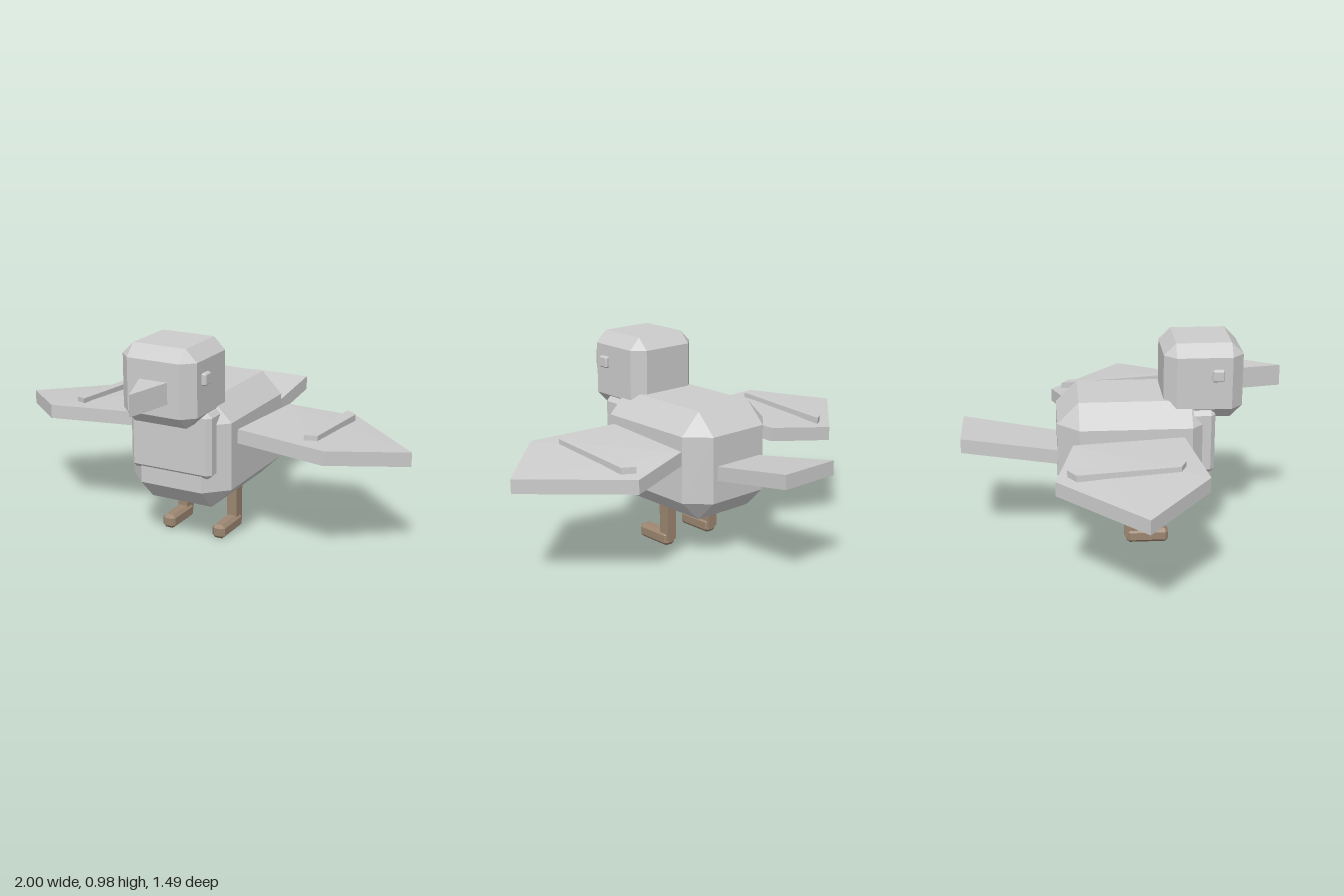
import * as THREE from 'three';
import { ConvexGeometry } from 'three/addons/geometries/ConvexGeometry.js';

export function createModel() {
  const bird = new THREE.Group();
  bird.name = 'bird';

  const plumage = new THREE.MeshStandardMaterial({ color: 0xcccccc });
  plumage.name = 'light grey plumage';
  const legSkin = new THREE.MeshStandardMaterial({ color: 0x9c8671 });
  legSkin.name = 'brown leg';

  // Faceted solid spanned by corner points
  function solid(name, points, material = plumage) {
    const geometry = new ConvexGeometry(points.map((p) => new THREE.Vector3(...p)));
    const mesh = new THREE.Mesh(geometry, material);
    mesh.name = name;
    bird.add(mesh);
    return mesh;
  }

  // Box from min to max corner with all edges chamfered by c
  function chamferBox(name, min, max, c, material) {
    const points = [];
    for (let i = 0; i < 8; i++) {
      for (let full = 0; full < 3; full++) {
        points.push([0, 1, 2].map((a) => {
          const inset = a === full ? 0 : c;
          return (i >> a) & 1 ? max[a] - inset : min[a] + inset;
        }));
      }
    }
    return solid(name, points, material);
  }

  // Flat slab hanging below its top outline
  function slab(name, top, thickness, material) {
    const bottom = top.map(([x, y, z]) => [x, y - thickness, z]);
    return solid(name, [...top, ...bottom], material);
  }

  // Body, breast and head
  chamferBox('body', [-0.255, 0.2, -0.305], [0.255, 0.715, 0.41], 0.1);
  chamferBox('breastPlate', [-0.205, 0.37, 0.3], [0.205, 0.675, 0.42], 0.02);
  chamferBox('head', [-0.185, 0.625, 0.185], [0.185, 0.98, 0.55], 0.055);

  // Wedge beak, dipping slightly to the tip
  slab('beak', [[-0.07, 0.838, 0.548], [0.07, 0.838, 0.548], [0, 0.825, 0.745]], 0.098);

  // Fanned tail rising to the back
  slab('tail', [
    [-0.128, 0.467, -0.26], [0.128, 0.467, -0.26],
    [0.15, 0.55, -0.748], [-0.15, 0.55, -0.748],
  ], 0.068);

  for (const [side, s] of [['left', 1], ['right', -1]]) {
    const mirror = (points) => points.map(([x, y, z]) => [s * x, y, z]);
    const span = (a, b) => [Math.min(s * a, s * b), Math.max(s * a, s * b)];

    // Wing and the raised feather ridge on it
    slab(side + 'Wing', mirror([
      [0.285, 0.56, -0.235], [0.6, 0.522, -0.322], [1, 0.522, 0.05],
      [0.7, 0.567, 0.332], [0.265, 0.578, 0.27],
    ]), 0.066);
    slab(side + 'WingRidge', mirror([
      [0.572, 0.562, -0.27], [0.626, 0.56, -0.232],
      [0.626, 0.588, 0.215], [0.572, 0.592, 0.242],
    ]), 0.03);

    // Eye
    const [e0, e1] = span(0.17, 0.205);
    chamferBox(side + 'Eye', [e0, 0.815, 0.402], [e1, 0.87, 0.456], 0.006);

    // Leg and foot
    const [l0, l1] = span(0.108, 0.158);
    chamferBox(side + 'Leg', [l0, 0.03, 0.008], [l1, 0.25, 0.068], 0, legSkin);
    const [f0, f1] = span(0.1, 0.166);
    chamferBox(side + 'Foot', [f0, 0, 0.015], [f1, 0.067, 0.215], 0.015, legSkin);
  }
  return bird;
}
